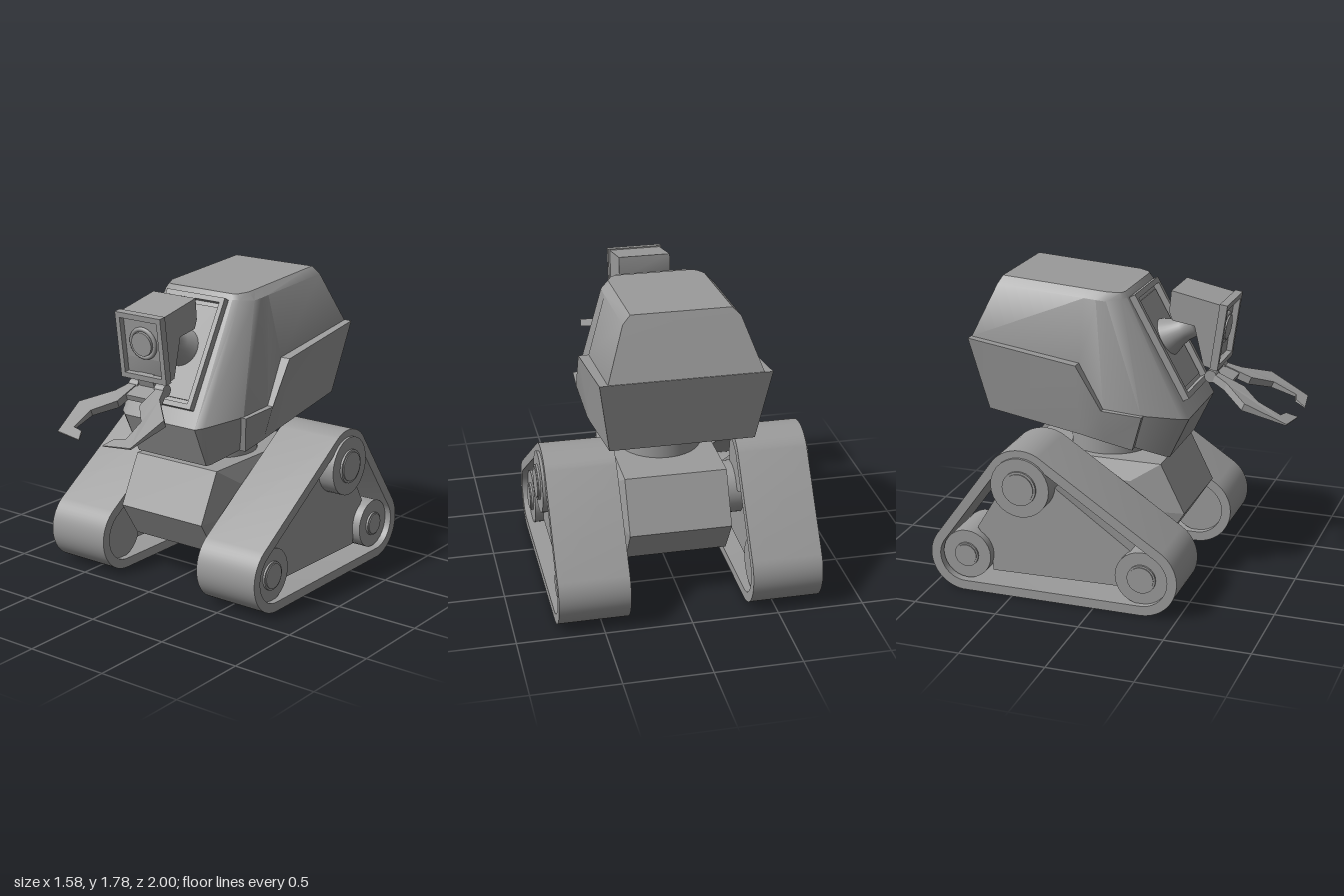
import * as THREE from 'three';
import { toCreasedNormals } from 'three/addons/utils/BufferGeometryUtils.js';
import { ConvexGeometry } from 'three/addons/geometries/ConvexGeometry.js';

const grey = new THREE.MeshStandardMaterial({ color: 0x9c9c9c });
grey.name = 'grey';

function part(parent, name, geo, x = 0, y = 0, z = 0) {
  const mesh = new THREE.Mesh(geo, grey);
  mesh.name = name;
  mesh.position.set(x, y, z);
  parent.add(mesh);
  return mesh;
}

function group(parent, name, x = 0, y = 0, z = 0, rx = 0) {
  const g = new THREE.Group();
  g.name = name;
  g.position.set(x, y, z);
  g.rotation.x = rx;
  parent.add(g);
  return g;
}

// Points as vectors, always counter-clockwise so that walls and holes face out
function toVectors(pts) {
  const list = pts.map(([a, b]) => new THREE.Vector2(a, b));
  return THREE.ShapeUtils.isClockWise(list) ? list.reverse() : list;
}

function extrude(pts, depth, hole) {
  const shape = new THREE.Shape(toVectors(pts));
  if (hole) shape.holes.push(new THREE.Path(toVectors(hole).reverse()));
  return new THREE.ExtrudeGeometry(shape, { depth, bevelEnabled: false });
}

// Side profile given as [z, y], extruded from x0 to x1
function extrudeX(pts, x0, x1, hole) {
  const flip = (list) => list && list.map(([z, y]) => [-z, y]);
  const geo = extrude(flip(pts), x1 - x0, flip(hole));
  geo.rotateY(Math.PI / 2).translate(x0, 0, 0);
  return toCreasedNormals(geo, 0.5);
}

const rect = (w, h) => [[-w, -h], [w, -h], [w, h], [-w, h]];

function cylinderX(r, x0, x1) {
  return new THREE.CylinderGeometry(r, r, x1 - x0, 28).rotateZ(Math.PI / 2).translate((x0 + x1) / 2, 0, 0);
}

// Symmetric loft: each ring lists its +x half from front to back, lowest ring first
function loft(halves) {
  const rings = halves.map((h) => [...h, ...h.slice().reverse().map(([x, y, z]) => [-x, y, z])]);
  const n = rings[0].length, pos = [];
  const quad = (a, b, c, d) => pos.push(...a, ...b, ...c, ...a, ...c, ...d);
  for (let r = 0; r + 1 < rings.length; r++) {
    const lo = rings[r], hi = rings[r + 1];
    for (let i = 0; i < n; i++) {
      const j = (i + 1) % n;
      quad(lo[i], lo[j], hi[j], hi[i]);
    }
  }
  const bottom = rings[0], top = rings[rings.length - 1];
  for (let i = 0; i + 1 < n / 2; i++) {
    quad(top[i], top[i + 1], top[n - 2 - i], top[n - 1 - i]);
    quad(bottom[n - 1 - i], bottom[n - 2 - i], bottom[i + 1], bottom[i]);
  }
  const geo = new THREE.BufferGeometry();
  geo.setAttribute('position', new THREE.Float32BufferAttribute(pos, 3));
  return toCreasedNormals(geo, 0.53);
}

// Taut outline around the track wheels [z, y, radius]
function beltOutline(circles, inset) {
  const pts = [];
  for (let i = 0; i < 60; i++) {
    const a = (i / 60) * Math.PI * 2 + 0.01, c = Math.cos(a), s = Math.sin(a);
    const reach = ([z, y, r]) => z * c + y * s + r;
    const [z, y, r] = circles.reduce((best, k) => (reach(k) > reach(best) ? k : best));
    pts.push([z + (r - inset) * c, y + (r - inset) * s]);
  }
  return pts;
}

function addTrack(root, side) {
  const g = group(root, side > 0 ? 'leftTrack' : 'rightTrack');
  const span = (a, b) => (side > 0 ? [a, b] : [-b, -a]);
  const circles = [[0.28, 0.22, 0.218], [-0.79, 0.21, 0.21], [-0.43, 0.69, 0.22]];
  part(g, 'trackBelt', extrudeX(beltOutline(circles, 0), ...span(0.35, 0.756), beltOutline(circles, 0.057)));
  const panel = [[0.25, 0.125], [-0.65, 0.11], [-0.65, 0.25], [-0.74, 0.37], [-0.59, 0.62],
    [-0.5, 0.8], [-0.36, 0.8], [-0.25, 0.67], [0.19, 0.355], [0.3, 0.25]];
  part(g, 'trackPanel', extrudeX(panel, ...span(0.43, 0.67)));
  // wheel: z, y, radius, hub radius, outer x
  for (const [z, y, r, hub, x] of [[0.28, 0.213, 0.16, 0.085, 0.72], [-0.79, 0.213, 0.148, 0.073, 0.72],
    [-0.43, 0.69, 0.177, 0.102, 0.772]]) {
    part(g, 'wheel', cylinderX(r, ...span(0.39, x)), 0, y, z);
    part(g, 'hubRim', cylinderX(hub, ...span(x - 0.02, x + 0.012)), 0, y, z);
    part(g, 'hubCap', cylinderX(hub * 0.87, ...span(x - 0.02, x + 0.018)), 0, y, z);
  }
  part(g, 'axle', cylinderX(0.155, ...span(0.28, 0.45)), 0, 0.465, -0.3);
}

function addBody(root) {
  const hex = [[0.25, 0.74], [0.395, 0.45], [0.26, 0.24], [-0.61, 0.24], [-0.745, 0.45], [-0.6, 0.74]];
  const pts = [];
  for (const s of [-1, 1]) {
    for (const [z, y] of hex) {
      pts.push(new THREE.Vector3(s * 0.295, y, z));
      pts.push(new THREE.Vector3(s * 0.34, 0.47 + (y - 0.47) * 0.6, -0.175 + (z + 0.175) * 0.6));
    }
  }
  part(root, 'body', new ConvexGeometry(pts));
  part(root, 'neck', new THREE.CylinderGeometry(0.242, 0.242, 0.34, 40), 0, 0.87, -0.145);
}

function addHead(root) {
  const g = group(root, 'head');
  part(g, 'headShell', loft([
    [[0.25, 0.775, 0.29], [0.275, 0.785, 0.27], [0.355, 0.845, 0.13], [0.36, 0.89, -0.05], [0.37, 0.93, -0.2], [0.37, 1.03, -0.74]],
    [[0.255, 1.02, 0.405], [0.3, 1.03, 0.373], [0.425, 1.07, 0.17], [0.435, 1.09, -0.05], [0.42, 1.345, -0.2], [0.43, 1.445, -0.85]],
    [[0.235, 1.7, 0.027], [0.27, 1.697, 0.005], [0.32, 1.69, -0.07], [0.325, 1.695, -0.13], [0.325, 1.7, -0.2], [0.325, 1.735, -0.73]],
    [[0.22, 1.73, 0.01], [0.25, 1.73, -0.005], [0.28, 1.735, -0.07], [0.28, 1.739, -0.13], [0.28, 1.744, -0.2], [0.28, 1.78, -0.71]],
  ]));
  part(g, 'lowerArmor', loft([
    [[0.395, 0.845, 0.11], [0.41, 0.882, -0.05], [0.415, 0.915, -0.2], [0.41, 1.01, -0.76]],
    [[0.452, 1.07, 0.185], [0.472, 1.09, -0.05], [0.48, 1.345, -0.2], [0.477, 1.445, -0.855]],
  ]));

  // Slanted face frame and the flared camera mount
  const face = group(g, 'facePanel', 0, 1.4, 0.19, -0.508);
  part(face, 'faceFrame', extrude(rect(0.21, 0.335), 0.055, rect(0.18, 0.305)), 0, 0, -0.012);
  part(face, 'facePlate', new THREE.BoxGeometry(0.32, 0.56, 0.03));
  const mount = [[0.118, 0], [0.108, 0.03], [0.083, 0.08], [0.07, 0.13], [0.068, 0.2], [0, 0.2]]
    .map(([r, h]) => new THREE.Vector2(r, h));
  part(face, 'cameraMount', new THREE.LatheGeometry(mount, 32).rotateX(Math.PI / 2), 0, 0.015, 0);
}

function addCamera(root) {
  const g = group(root, 'camera');
  const profile = [[0.554, 1.68], [0.262, 1.74], [0.25, 1.615], [0.27, 1.565], [0.4, 1.545],
    [0.43, 1.42], [0.455, 1.315], [0.5, 1.303], [0.51, 1.32]];
  part(g, 'cameraBody', extrudeX(profile, -0.152, 0.152));
  const front = group(g, 'cameraFront', 0, 1.4875, 0.567, 0.139);
  part(front, 'cameraRim', extrude(rect(0.162, 0.196), 0.045, rect(0.132, 0.164)), 0, 0, -0.045);
  part(front, 'cameraFace', new THREE.BoxGeometry(0.28, 0.34, 0.02), 0, 0, -0.045);
  part(front, 'lensRing', new THREE.TorusGeometry(0.083, 0.013, 10, 36), 0, 0.02, -0.03);
  part(front, 'lensBarrel', new THREE.CylinderGeometry(0.07, 0.075, 0.04, 36).rotateX(Math.PI / 2), 0, 0.02, -0.03);
}

function addGripper(root) {
  const g = group(root, 'gripper', 0, 1.245, 0.49, 0.374);
  part(g, 'wristLink', new THREE.BoxGeometry(0.11, 0.1, 0.045), 0, 0.04, -0.005);
  part(g, 'palm', new THREE.BoxGeometry(0.15, 0.035, 0.12), 0, 0, 0.06);
  // Claw outline as [x, z]
  const claw = [[0.07, 0.5], [0.12, 0.5], [0.16, 0.59], [0.308, 0.735], [0.262, 0.975], [0.085, 1],
    [0.12, 0.935], [0.187, 0.92], [0.182, 0.78], [0.08, 0.67]];
  for (const s of [-1, 1]) {
    part(g, 'wristJoint', cylinderX(0.036, s > 0 ? 0.06 : -0.125, s > 0 ? 0.125 : -0.06));
    const geo = extrude(claw.map(([x, z]) => [s * x, (z - 0.49) / 0.931]), 0.04);
    geo.rotateX(Math.PI / 2).translate(0, 0.02, 0);
    // Thin the claw toward its tip
    const p = geo.attributes.position;
    for (let i = 0; i < p.count; i++) {
      p.setY(i, p.getY(i) * THREE.MathUtils.clamp(1.15 - Math.max(0, p.getZ(i) - 0.25) * 3.4, 0.15, 1.15));
    }
    geo.computeVertexNormals();
    part(g, 'claw', geo);
  }
}

export function createModel() {
  const root = new THREE.Group();
  root.name = 'trackedRobot';
  for (const side of [1, -1]) addTrack(root, side);
  // The upper works sit slightly to the left of the tracks
  const upper = group(root, 'upperWorks', 0.01);
  addBody(upper);
  addHead(upper);
  addCamera(upper);
  addGripper(upper);
  return root;
}
